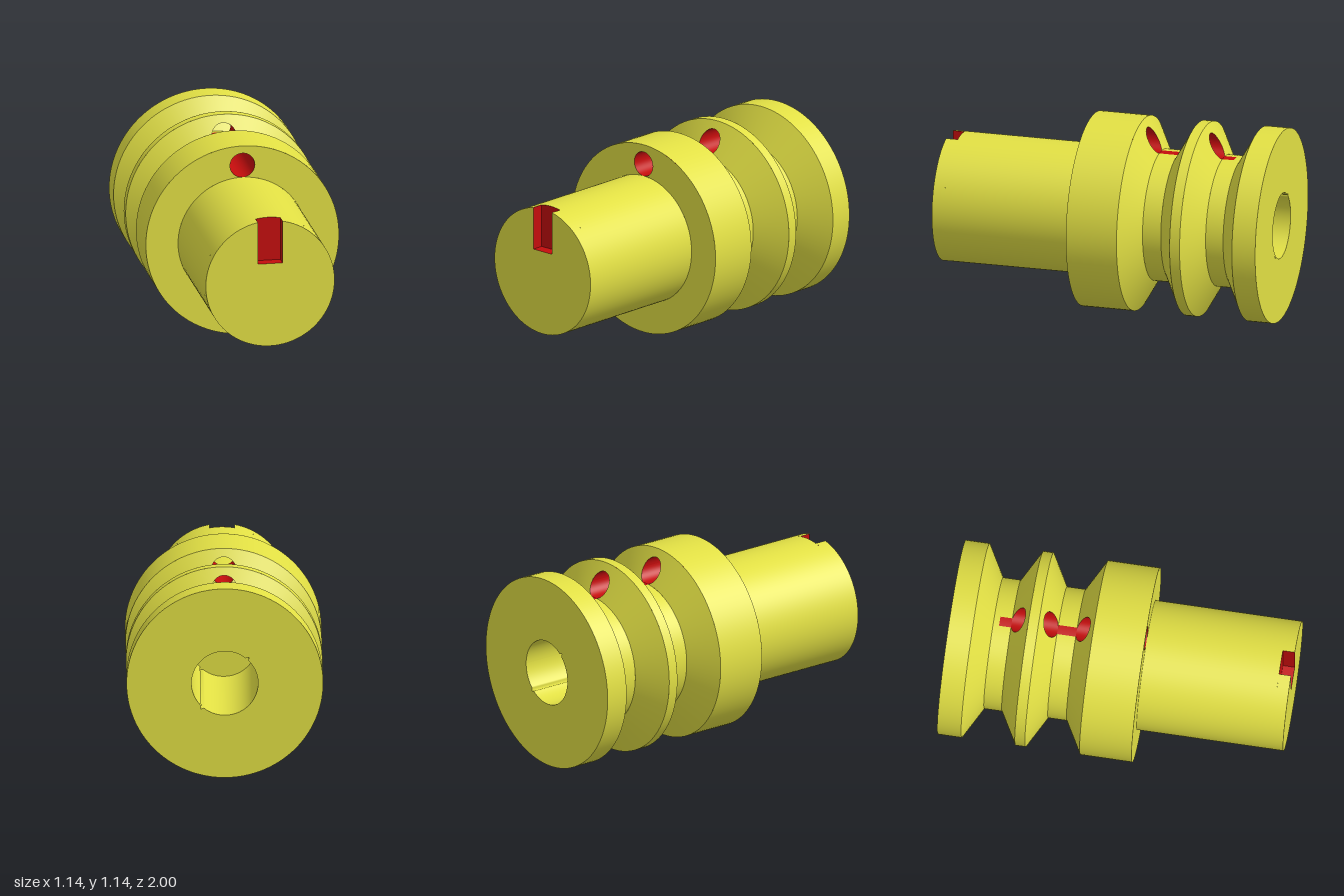
import * as THREE from 'three';
import { ParametricGeometry } from 'three/addons/geometries/ParametricGeometry.js';

const AXIS = 0.57;                       // height of the turning axis
const RIM = 0.57, NECK = 0.385, SHAFT = 0.38;
const HOLE_D = 0.453, HOLE_R = 0.073;    // pin hole: distance from axis, radius
const SECTOR = 0.3;                      // half angle of the patch around a pin hole
const NOTCH_W = 0.073, NOTCH_Y = 0.12, NOTCH_Z = 0.93;

export function createModel() {
  const model = new THREE.Group();
  const turned = new THREE.Group();
  turned.position.y = AXIS;
  model.add(turned);

  const yellow = new THREE.MeshStandardMaterial({ color: 0xe2e044, side: THREE.DoubleSide });
  const red = new THREE.MeshStandardMaterial({ color: 0xc40d0d, side: THREE.DoubleSide });

  const add = (name, geometry, material = yellow) => {
    const mesh = new THREE.Mesh(geometry, material);
    mesh.name = name;
    turned.add(mesh);
    return mesh;
  };

  // Turned band between two profile points, open by +-gap radians at the top
  const band = (r0, z0, r1, z1, gap = 0) =>
    new THREE.LatheGeometry([new THREE.Vector2(r0, z0), new THREE.Vector2(r1, z1)], 96,
      Math.PI + gap, 2 * Math.PI - 2 * gap).rotateX(Math.PI / 2);

  const surface = (fn, slices, stacks) => {
    const g = new ParametricGeometry(fn, slices, stacks);
    g.computeVertexNormals();
    return g;
  };

  // Patch filling the gap of a flange face, leaving the round pin hole open
  const piercedPatch = (r0, z0, r1, z1) => {
    const lo = Math.min(r0, r1), hi = Math.max(r0, r1);
    const corners = [[-SECTOR, lo], [SECTOR, lo], [SECTOR, hi], [-SECTOR, hi]];
    return surface((u, v, p) => {
      const side = Math.floor(u * 4) % 4, f = u * 4 - Math.floor(u * 4);
      const a = corners[side], b = corners[(side + 1) % 4];
      const angle = a[0] + (b[0] - a[0]) * f, rad = a[1] + (b[1] - a[1]) * f;
      const dx = rad * Math.sin(angle), dy = rad * Math.cos(angle) - HOLE_D;
      const k = HOLE_R / Math.hypot(dx, dy);
      const hx = dx * k, hy = dy * k + HOLE_D;
      const t = THREE.MathUtils.lerp(Math.atan2(hx, hy), angle, v);
      const r = THREE.MathUtils.lerp(Math.max(lo, Math.hypot(hx, hy)), rad, v);
      p.set(r * Math.sin(t), r * Math.cos(t), z0 + (z1 - z0) * (r - r0) / (r1 - r0));
    }, 64, 6);
  };

  // Profile from back to front: [name, r0, z0, r1, z1, pierced]
  const bands = [
    ['backFlangeRim', RIM, -1, RIM, -0.86],
    ['backFlangeTaper', RIM, -0.86, NECK, -0.755],
    ['backGroove', NECK, -0.755, NECK, -0.65],
    ['middleRidgeBackTaper', NECK, -0.65, RIM, -0.545, true],
    ['middleRidgeRim', RIM, -0.545, RIM, -0.485],
    ['middleRidgeFrontTaper', RIM, -0.485, NECK, -0.38, true],
    ['frontGroove', NECK, -0.38, NECK, -0.27],
    ['collarTaper', NECK, -0.27, RIM, -0.165, true],
    ['collarRim', RIM, -0.165, RIM, 0.14],
    ['collarFace', RIM, 0.14, SHAFT, 0.14, true],
    ['shaft', SHAFT, 0.14, SHAFT, NOTCH_Z],
  ];
  for (const [name, r0, z0, r1, z1, pierced] of bands) {
    add(name, band(r0, z0, r1, z1, pierced ? SECTOR : 0));
    if (pierced) add(name + 'Patch', piercedPatch(r0, z0, r1, z1));
  }

  // Pin hole walls, trimmed to the slopes at each end
  const slope = (zNeck, zRim) => r =>
    zNeck + (zRim - zNeck) * (Math.max(r, NECK) - NECK) / (RIM - NECK);
  const pinHole = (name, back, front) => add(name, surface((u, v, p) => {
    const a = u * 2 * Math.PI;
    const x = HOLE_R * Math.cos(a), y = HOLE_D + HOLE_R * Math.sin(a);
    const r = Math.hypot(x, y);
    p.set(x, y, THREE.MathUtils.lerp(back(r), front(r), v));
  }, 48, 2), red);
  pinHole('collarPinHole', slope(-0.27, -0.165), () => 0.14);
  pinHole('ridgePinHole', slope(-0.65, -0.545), slope(-0.38, -0.485));

  // Shallow drill marks across the groove floors
  for (const [z0, z1] of [[-0.38, -0.27], [-0.72, -0.65]]) {
    add('drillMark', band(NECK + 0.001, z0, NECK + 0.001, z1, Math.PI - 0.073)
      .rotateZ(Math.PI), red);
  }

  // Notched shaft end
  const half = Math.asin(NOTCH_W / SHAFT);
  const topY = SHAFT * Math.cos(half);
  add('shaftTip', band(SHAFT, NOTCH_Z, SHAFT, 1, half));
  const end = new THREE.Shape();
  end.absarc(0, 0, SHAFT, Math.PI / 2 + half, Math.PI * 2.5 - half, false);
  end.lineTo(NOTCH_W, NOTCH_Y);
  end.lineTo(-NOTCH_W, NOTCH_Y);
  add('shaftEndFace', new THREE.ShapeGeometry(end, 96)).position.z = 1;

  // Notch walls
  const depth = 1 - NOTCH_Z, zMid = (1 + NOTCH_Z) / 2;
  const back = new THREE.Shape();
  back.moveTo(-NOTCH_W, NOTCH_Y);
  back.lineTo(NOTCH_W, NOTCH_Y);
  back.absarc(0, 0, SHAFT, Math.PI / 2 - half, Math.PI / 2 + half, false);
  add('notchBack', new THREE.ShapeGeometry(back), red).position.z = NOTCH_Z;
  add('notchFloor', new THREE.PlaneGeometry(2 * NOTCH_W, depth).rotateX(-Math.PI / 2), red)
    .position.set(0, NOTCH_Y, zMid);
  for (const s of [-1, 1]) {
    add('notchSide', new THREE.PlaneGeometry(depth, topY - NOTCH_Y).rotateY(-s * Math.PI / 2), red)
      .position.set(s * NOTCH_W, (topY + NOTCH_Y) / 2, zMid);
  }

  // Blind bore in the back face with two fine opposed grooves
  const boreSides = 120, boreEnd = -0.2;
  const borePoint = i => {
    const r = i % 60 === 44 ? 0.21 : 0.193, a = i / boreSides * 2 * Math.PI;
    return new THREE.Vector2(r * Math.cos(a), r * Math.sin(a));
  };
  const borePoints = Array.from({ length: boreSides }, (_, i) => borePoint(i));
  const backFace = new THREE.Shape().absarc(0, 0, RIM, 0, Math.PI * 2, false);
  backFace.holes.push(new THREE.Path(borePoints));
  add('backFace', new THREE.ShapeGeometry(backFace, 96)).position.z = -1;
  add('boreWall', surface((u, v, p) => {
    const q = borePoint(Math.round(u * boreSides));
    p.set(q.x, q.y, THREE.MathUtils.lerp(-1, boreEnd, v));
  }, boreSides, 1));
  add('boreBottom', new THREE.ShapeGeometry(new THREE.Shape(borePoints))).position.z = boreEnd;

  return model;
}
